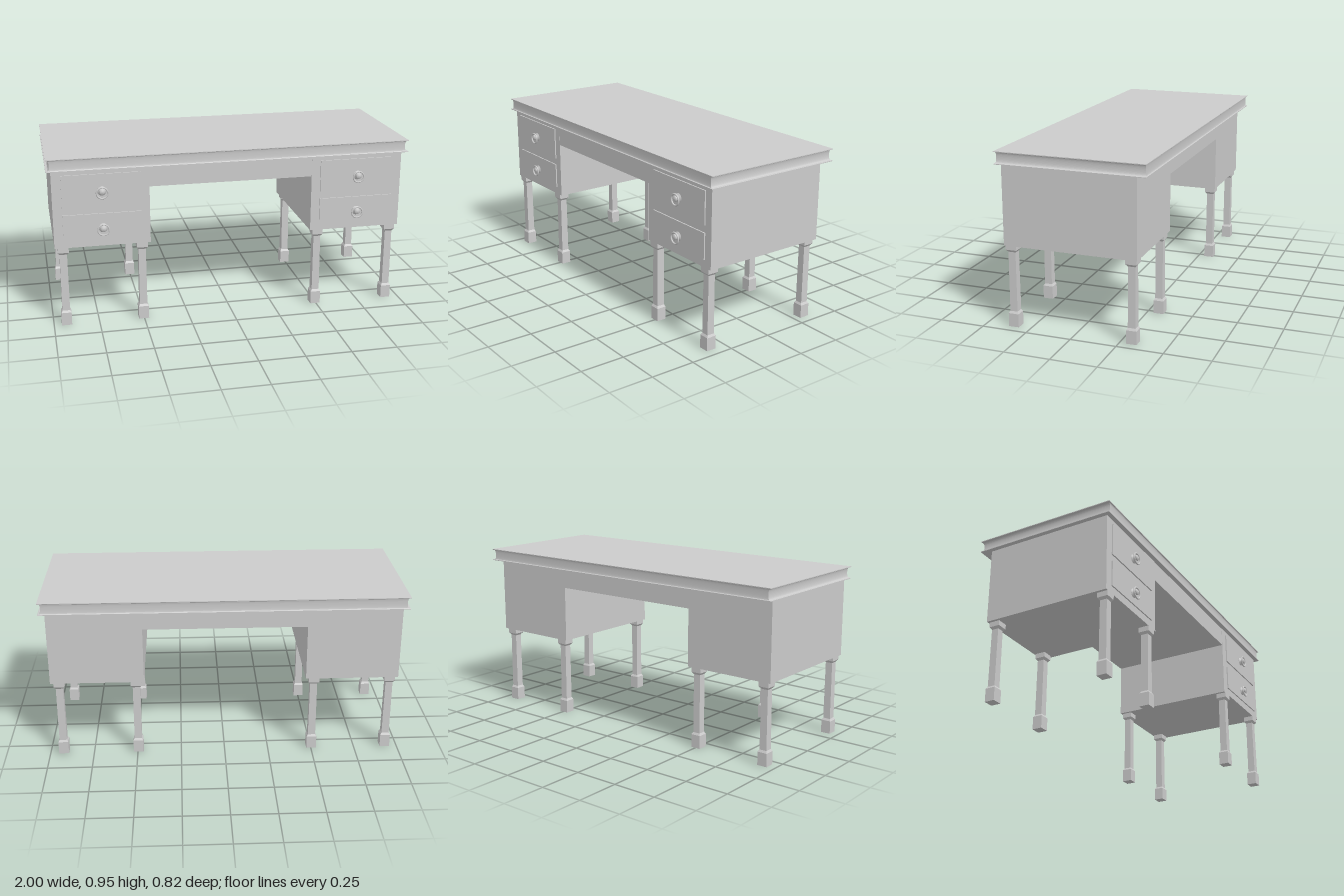
import * as THREE from 'three';

const smooth = new THREE.MeshStandardMaterial({ color: 0xcccccc });
const flat = new THREE.MeshStandardMaterial({ color: 0xcccccc, flatShading: true });

// Square-section solid turned from a half-width profile [halfWidth, y]
function squareTurned(profile) {
  const pts = profile.map(([h, y]) => new THREE.Vector2(h * Math.SQRT2, y));
  return new THREE.LatheGeometry(pts, 4, Math.PI / 4);
}

function add(parent, name, geometry, material = flat) {
  const mesh = new THREE.Mesh(geometry, material);
  mesh.name = name;
  parent.add(mesh);
  return mesh;
}

// Box given by its minimum and maximum corners
function box(parent, name, [x0, y0, z0], [x1, y1, z1]) {
  const mesh = add(parent, name, new THREE.BoxGeometry(x1 - x0, y1 - y0, z1 - z0));
  mesh.position.set((x0 + x1) / 2, (y0 + y1) / 2, (z0 + z1) / 2);
  return mesh;
}

// Drawer pull: flared boss, round knob and hanging ring
function makePull() {
  const pull = new THREE.Group();
  pull.name = 'drawerPull';
  const profile = [
    [0, 0], [0.025, 0], [0.025, 0.003], [0.018, 0.006], [0.013, 0.011], [0.012, 0.017],
    [0.015, 0.02], [0.016, 0.025], [0.011, 0.029], [0, 0.031],
  ].map(([r, y]) => new THREE.Vector2(r, y));
  const knob = add(pull, 'knob', new THREE.LatheGeometry(profile, 24), smooth);
  knob.rotation.x = Math.PI / 2;
  const ring = add(pull, 'ring', new THREE.TorusGeometry(0.03, 0.0045, 10, 32), smooth);
  ring.position.set(0, -0.006, 0.023);
  return pull;
}

export function createModel() {
  const desk = new THREE.Group();
  desk.name = 'desk';

  // Table top with thin lips and a hollow moulded edge
  const edge = [[0, 0.885], [1, 0.885], [1, 0.889]];
  const steps = 14;
  for (let i = 0; i <= steps; i++) {
    const a = (Math.PI * i) / steps;
    edge.push([0.997 - 0.016 * Math.sqrt(Math.max(0, Math.sin(a))), 0.919 - 0.029 * Math.cos(a)]);
  }
  edge.push([1, 0.949], [1, 0.953], [0, 0.953]);
  const top = squareTurned(edge);
  top.scale(1, 1, 0.404);
  add(desk, 'tableTop', top).position.z = -0.005;

  // Frieze joining the pedestals over the kneehole
  box(desk, 'frieze', [-0.455, 0.77, -0.352], [0.45, 0.886, 0.372]);

  const legProfile = [
    [0, 0], [0.028, 0], [0.028, 0.073], [0.021, 0.085],
    [0.02, 0.412], [0.03, 0.425], [0.03, 0.454], [0, 0.454],
  ];

  for (const [side, cx] of [['right', -0.715], ['left', 0.71]]) {
    const pedestal = new THREE.Group();
    pedestal.name = side + 'Pedestal';
    pedestal.position.x = cx;
    desk.add(pedestal);
    box(pedestal, 'cabinet', [-0.26, 0.453, -0.352], [0.26, 0.886, 0.373]);

    // Drawer fronts with their pulls
    for (const [y0, y1, py] of [[0.677, 0.858, 0.764], [0.495, 0.638, 0.557]]) {
      box(pedestal, 'drawerFront', [-0.21, y0, 0.37], [0.213, y1, 0.38]);
      const pull = makePull();
      pull.position.set(0.004, py, 0.379);
      pedestal.add(pull);
    }

    // Four square legs with block feet
    for (const x of [-0.215, 0.213]) {
      for (const z of [-0.314, 0.343]) {
        add(pedestal, 'leg', squareTurned(legProfile)).position.set(x, 0, z);
      }
    }
  }
  return desk;
}
